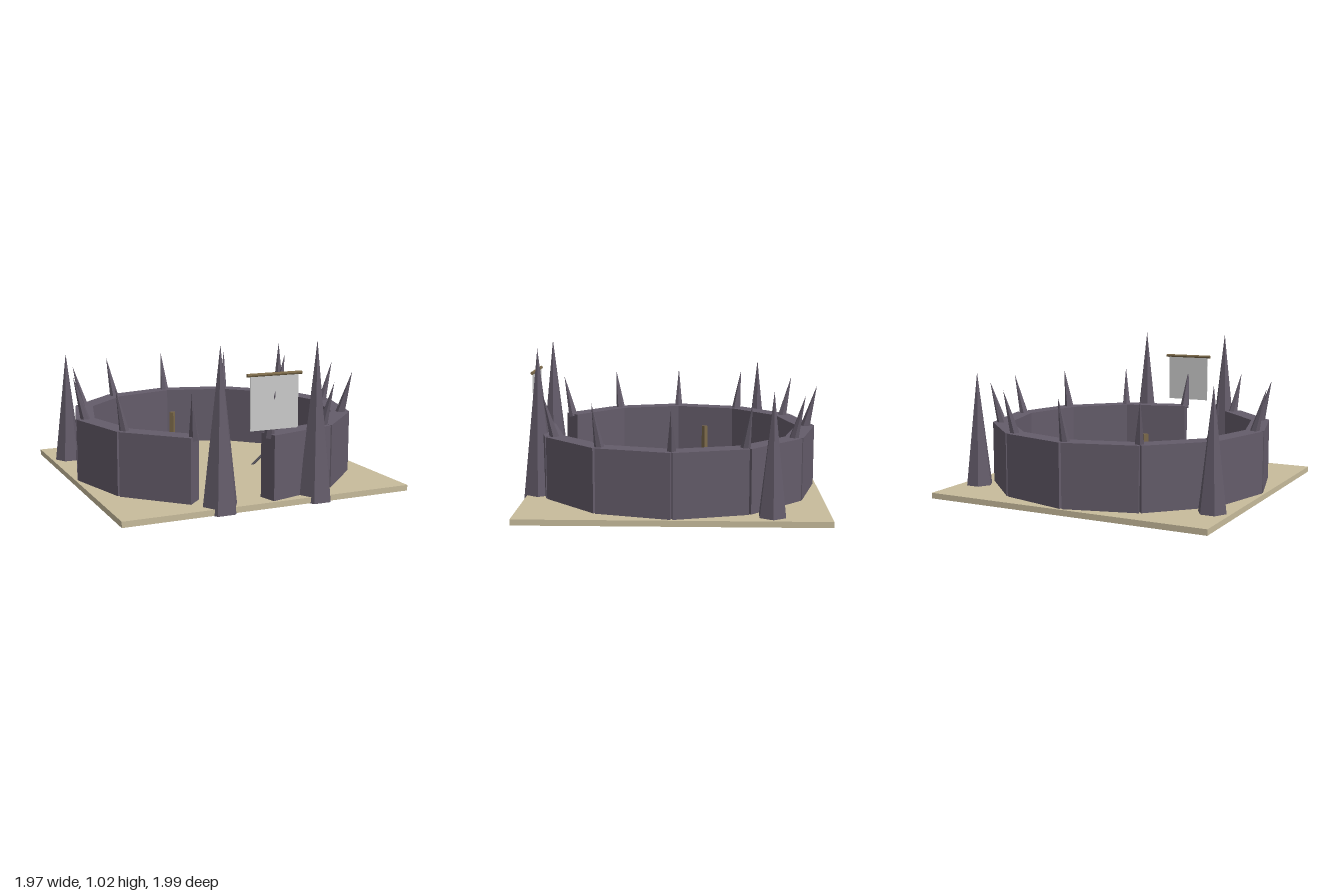
import * as THREE from 'three';

const mat = (name, color, extra = {}) => {
  const m = new THREE.MeshStandardMaterial({ color, ...extra });
  m.name = name;
  return m;
};

export function createModel() {
  const stone = mat('darkStone', 0x645c6a, { flatShading: true });
  const sand = mat('sand', 0xc8bc9c);
  const wood = mat('wood', 0x7c6a4a, { flatShading: true });
  const cloth = mat('cloth', 0xcccccc, { side: THREE.DoubleSide });
  const iron = mat('iron', 0x55525a, { flatShading: true });

  const model = new THREE.Group();
  model.name = 'spikedArena';

  const add = (name, geometry, material, x, y, z, parent = model) => {
    const mesh = new THREE.Mesh(geometry, material);
    mesh.name = name;
    mesh.position.set(x, y, z);
    parent.add(mesh);
    return mesh;
  };

  // sandy ground slab
  add('ground', new THREE.BoxGeometry(1.97, 0.038, 1.97), sand, 0, 0.021, -0.015);

  // ring of straight wall panels with one left out as the gate
  const ring = new THREE.Group();
  ring.name = 'wallRing';
  ring.position.z = -0.015;
  model.add(ring);
  const panel = new THREE.BoxGeometry(0.486, 0.455, 0.124);
  const thorn = new THREE.ConeGeometry(0.034, 0.31, 6);
  for (let i = 0; i < 12; i++) {
    const a = (i * Math.PI) / 6;
    const joint = new THREE.Group();
    joint.name = 'wallSection';
    joint.rotation.y = a;
    ring.add(joint);

    // thorn on every joint, leaning outward
    const t = add('wallThorn', thorn, stone, 0, 0.585, 0.942, joint);
    t.rotation.x = 0.26;

    if (i === 11) continue;
    const side = new THREE.Group();
    side.name = 'wallPanelPivot';
    side.rotation.y = Math.PI / 12;
    joint.add(side);
    add('wallPanel', panel, stone, 0, 0.2275, 0.875, side);
  }

  // tall six-sided spikes: two at the gate, two at the back corners
  for (const s of [-1, 1]) {
    for (const [name, r, h, x, z] of [
      ['gateSpike', 0.119, 1.02, 0.33, 0.89],
      ['backSpike', 0.098, 0.815, 0.865, -0.635],
    ]) {
      const spike = add(name, new THREE.ConeGeometry(r, h, 6), stone, s * x, h / 2, z);
      spike.rotation.y = Math.PI / 6;
    }
  }

  // banner hanging from a crossbar over the gate
  add('bannerCloth', new THREE.BoxGeometry(0.325, 0.335, 0.006), cloth, 0, 0.663, 0.955);
  const bar = add('bannerBar', new THREE.CylinderGeometry(0.011, 0.011, 0.37, 8), wood, 0, 0.836, 0.955);
  bar.rotation.z = Math.PI / 2;

  // square post standing in the yard
  add('yardPost', new THREE.CylinderGeometry(0.021, 0.021, 0.39, 4), wood, -0.207, 0.215, -0.22);

  // iron rod stuck slantwise in the sand
  const from = new THREE.Vector3(0.28, 0.025, 0.065);
  const to = new THREE.Vector3(0.495, 0.2, 0.065);
  const dir = to.clone().sub(from);
  const rod = add('leaningRod', new THREE.CylinderGeometry(0.009, 0.009, dir.length(), 6), iron,
    ...from.clone().add(to).multiplyScalar(0.5).toArray());
  rod.quaternion.setFromUnitVectors(new THREE.Vector3(0, 1, 0), dir.normalize());

  return model;
}
